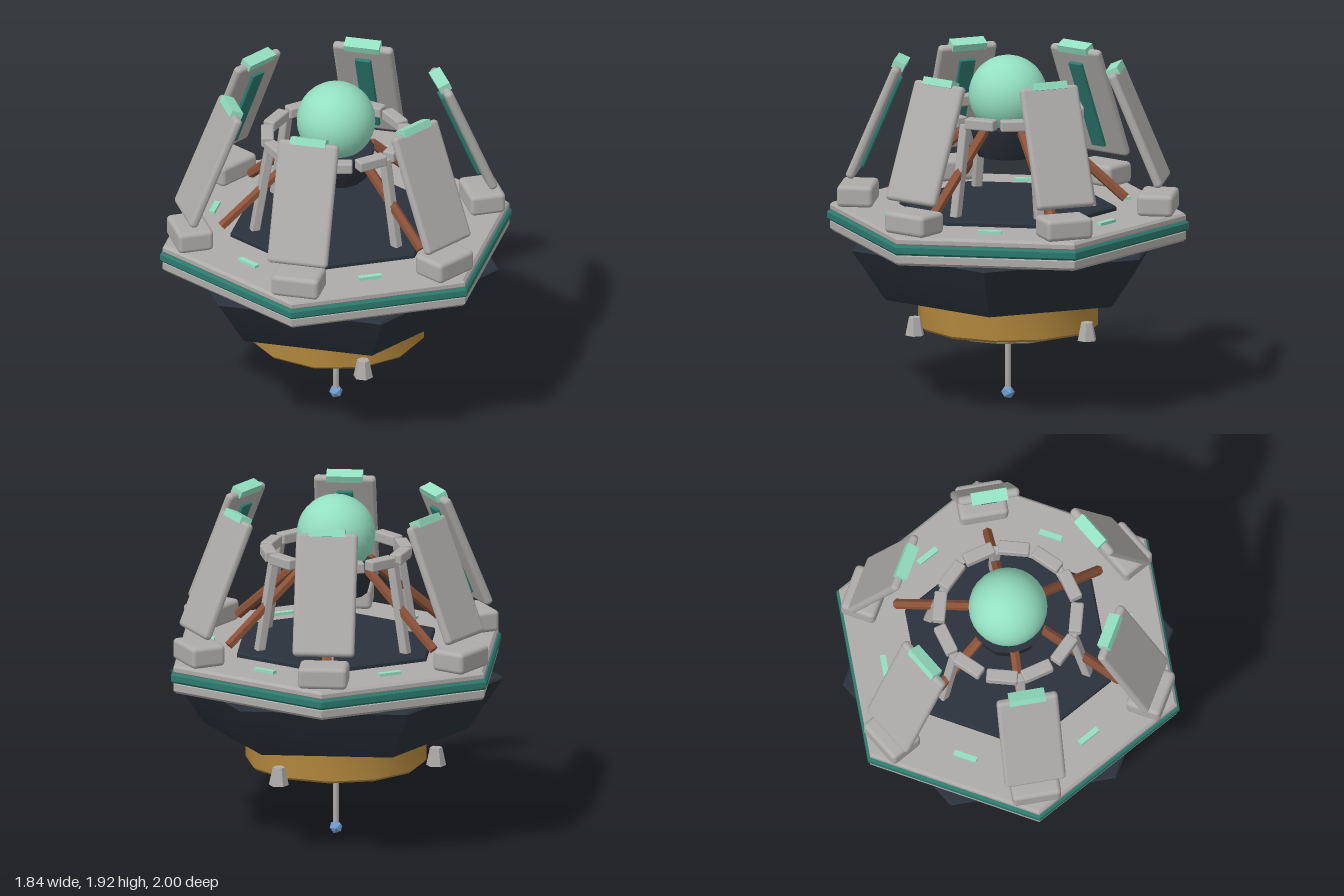
import * as THREE from 'three';
import { toCreasedNormals } from 'three/addons/utils/BufferGeometryUtils.js';
import { RoundedBoxGeometry } from 'three/addons/geometries/RoundedBoxGeometry.js';

function material(name, color) {
  const m = new THREE.MeshStandardMaterial({ color });
  m.name = name;
  return m;
}

export function createModel() {
  const gray = material('hull gray', 0xaeacaa);
  const dark = material('dark slate', 0x2a323b);
  const teal = material('teal trim', 0x2c7a6d);
  const mint = material('mint glow', 0x93dfc1);
  const gold = material('gold', 0xb0863c);
  const brown = material('copper brown', 0x8c5238);
  const blue = material('blue tip', 0x6f9fd0);

  const model = new THREE.Group();
  model.name = 'orbitalStation';

  function add(parent, name, geometry, mat, x = 0, y = 0, z = 0) {
    const mesh = new THREE.Mesh(geometry, mat);
    mesh.name = name;
    mesh.position.set(x, y, z);
    parent.add(mesh);
    return mesh;
  }

  // Bevelled many-sided slab or frustum between two heights
  function slab(rBottom, rTop, y0, y1, sides, bevel) {
    const b = bevel;
    const profile = [[0, y0], [rBottom - b, y0], [rBottom, y0 + b], [rTop, y1 - b], [rTop - b, y1], [0, y1]]
      .map(([r, y]) => new THREE.Vector2(r, y));
    return toCreasedNormals(new THREE.LatheGeometry(profile, sides), 0.6);
  }

  const box = (w, h, d, r) => new RoundedBoxGeometry(w, h, d, 2, r);

  // Bar running between two points
  function bar(parent, name, geometryFor, mat, from, to) {
    const dir = new THREE.Vector3().subVectors(to, from);
    const mesh = add(parent, name, geometryFor(dir.length()), mat);
    mesh.position.addVectors(from, to).multiplyScalar(0.5);
    mesh.quaternion.setFromUnitVectors(new THREE.Vector3(0, 1, 0), dir.normalize());
  }

  function spoke(name, angle) {
    const g = new THREE.Group();
    g.name = name;
    g.rotation.y = angle;
    model.add(g);
    return g;
  }

  // Hexagonal platform with trim band and dark deck
  add(model, 'platformLower', slab(0.985, 0.985, 0.912, 0.98, 6, 0.015), gray);
  add(model, 'platformBand', slab(1, 1, 0.972, 1.028, 6, 0.012), teal);
  add(model, 'platformUpper', slab(0.985, 0.985, 1.02, 1.072, 6, 0.015), gray);
  add(model, 'deck', slab(0.6, 0.6, 1.06, 1.1, 6, 0.01), dark);

  // Lower hull, turned half a side against the platform
  const hull = add(model, 'hull', slab(0.73, 0.92, 0.61, 0.914, 6, 0.012), dark);
  hull.rotation.y = Math.PI / 6;

  // Engine drum and base plate
  add(model, 'drum', slab(0.497, 0.497, 0.417, 0.612, 12, 0.014), gold);
  add(model, 'basePlate', slab(0.33, 0.33, 0.375, 0.42, 12, 0.008), gray);

  // Antenna
  add(model, 'antennaRod', new THREE.CylinderGeometry(0.017, 0.017, 0.34, 8), gray, 0, 0.21, 0);
  const tip = new THREE.IcosahedronGeometry(0.038, 0);
  add(model, 'antennaTip', tip, blue, 0, 0.038, 0);

  // Three thruster nozzles
  for (let i = 0; i < 3; i++) {
    const g = spoke('thruster', Math.PI / 2 + i * Math.PI * 2 / 3);
    const cone = toCreasedNormals(new THREE.CylinderGeometry(0.034, 0.055, 0.1, 6), 0.6);
    add(g, 'nozzle', cone, gray, 0, 0.452, 0.55);
  }

  // Glowing core in its cup
  add(model, 'coreCup', slab(0.172, 0.215, 1.37, 1.545, 12, 0.003), dark);
  add(model, 'core', new THREE.SphereGeometry(0.216, 28, 18), mint, 0, 1.706, 0);

  // Segmented ring around the core
  for (let i = 0; i < 12; i++) {
    const g = spoke('ringSegment', (i + 0.5) * Math.PI / 6);
    add(g, 'ringBlock', box(0.172, 0.06, 0.07, 0.01), gray, 0, 1.611, 0.375);
  }

  // Six repeated sectors: petal, foot, leg, brace and deck light
  for (let i = 0; i < 6; i++) {
    const g = spoke('sector', i * Math.PI / 3);
    add(g, 'petalFoot', box(0.27, 0.12, 0.2, 0.025), gray, 0, 1.13, 0.83);

    const petal = new THREE.Group();
    petal.name = 'petal';
    petal.position.set(0, 1.553, 0.726);
    petal.rotation.x = -0.4;
    g.add(petal);
    add(petal, 'petalPanel', box(0.34, 0.68, 0.05, 0.022), gray);
    add(petal, 'petalStrip', box(0.09, 0.54, 0.024, 0.006), teal, 0, -0.01, -0.032);
    add(petal, 'petalCap', new THREE.BoxGeometry(0.2, 0.042, 0.068), mint, 0, 0.34, 0);

    bar(g, 'ringLeg', len => box(0.05, len, 0.05, 0.008), gray,
      new THREE.Vector3(0, 1.08, 0.465), new THREE.Vector3(0, 1.6, 0.375));
    bar(g, 'brace', len => toCreasedNormals(new THREE.CylinderGeometry(0.028, 0.028, len, 6), 0.6), brown,
      new THREE.Vector3(0, 1.145, 0.65), new THREE.Vector3(0, 1.54, 0.2));

    const light = spoke('deckLight', (i + 0.5) * Math.PI / 3);
    add(light, 'lightBar', new THREE.BoxGeometry(0.13, 0.025, 0.032), mint, 0, 1.076, 0.685);
  }

  return model;
}
